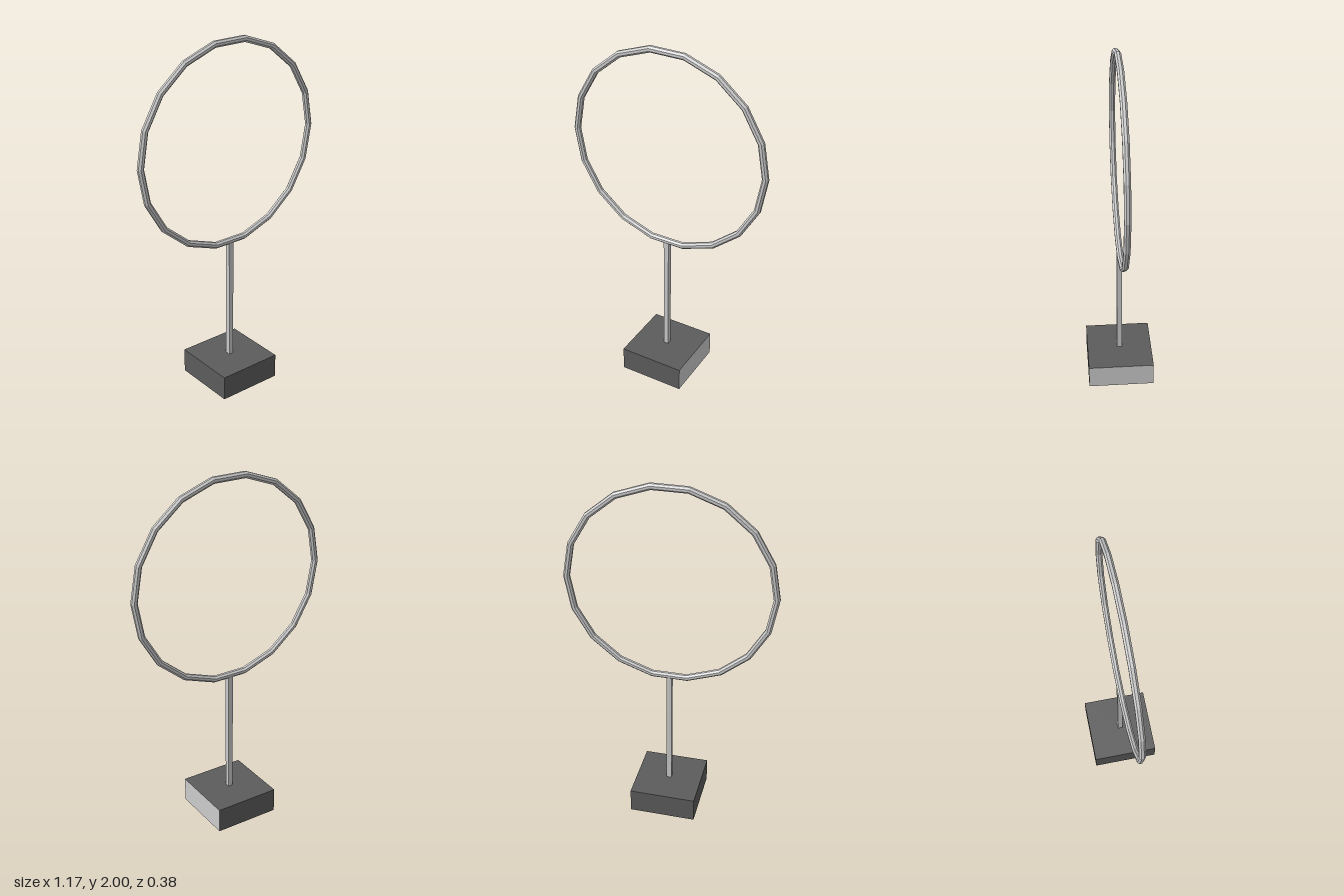
import * as THREE from 'three';

export function createModel() {
  const group = new THREE.Group();
  const grey = new THREE.MeshStandardMaterial({ color: 0xcccccc, flatShading: true });
  const dark = new THREE.MeshStandardMaterial({ color: 0x5c5c5c, flatShading: true });

  const add = (name, geometry, material, y) => {
    const mesh = new THREE.Mesh(geometry, material);
    mesh.name = name;
    mesh.position.y = y;
    group.add(mesh);
  };

  // Square base block: dark, with one light side (+x)
  const baseHeight = 0.143;
  add('base', new THREE.BoxGeometry(0.378, baseHeight, 0.378),
    [grey, dark, dark, dark, dark, dark], baseHeight / 2);

  // Thin square post, ending inside the bottom of the ring
  const postTop = 0.865;
  add('post', new THREE.BoxGeometry(0.029, postTop - baseHeight, 0.029),
    grey, (postTop + baseHeight) / 2);

  // Upright 18-sided hoop with an octagonal section, flats facing outward
  const ringRadius = 0.566, tubeRadius = 0.0185;
  const section = [];
  for (let i = 0; i <= 8; i++) {
    const a = (i - 0.5) * Math.PI / 4;
    section.push(new THREE.Vector2(ringRadius + tubeRadius * Math.cos(a), tubeRadius * Math.sin(a)));
  }
  const ring = new THREE.LatheGeometry(section, 18, Math.PI / 2).rotateX(Math.PI / 2);
  add('ring', ring, grey, 1.426);

  return group;
}
